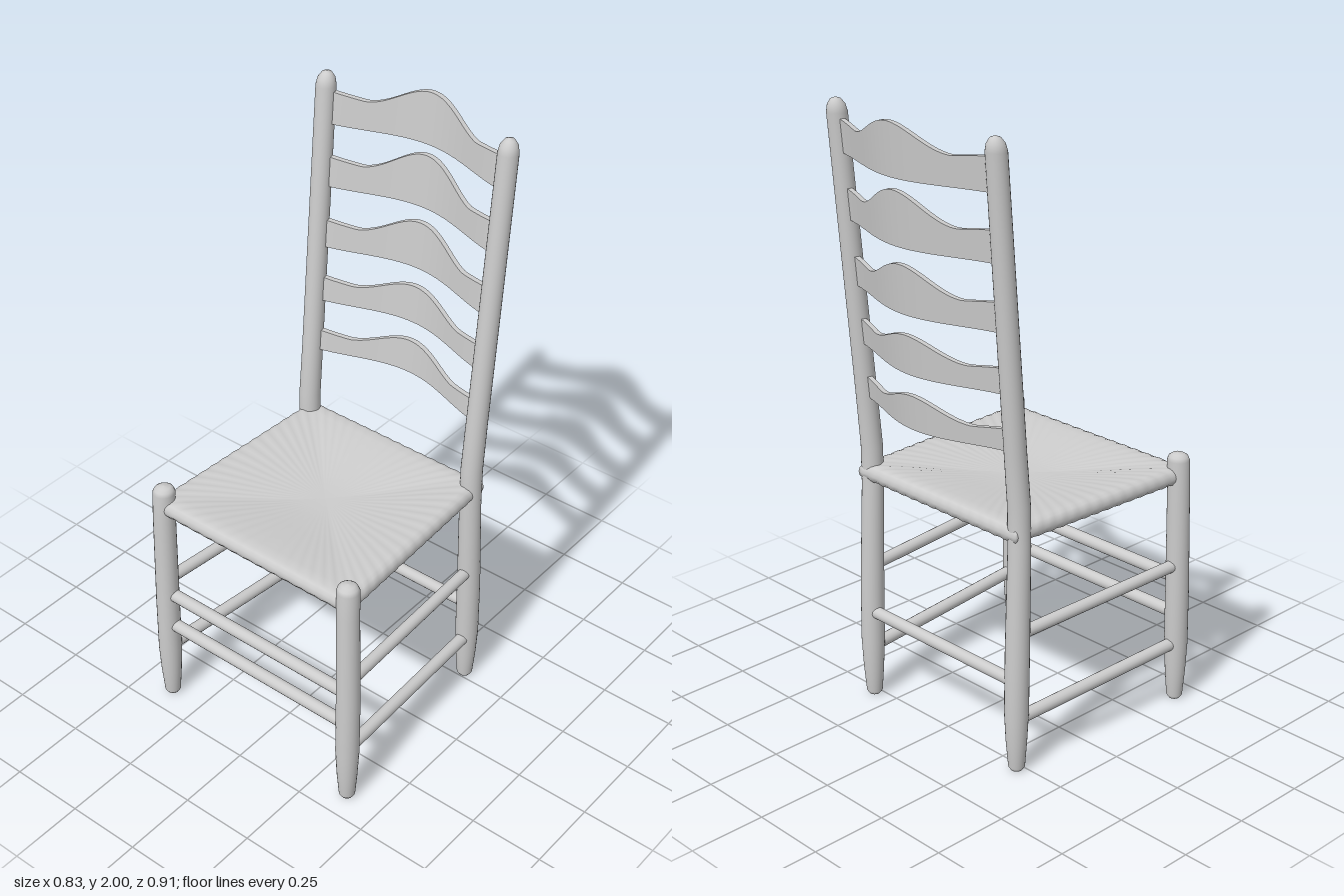
import * as THREE from 'three';

const wood = new THREE.MeshStandardMaterial({ color: 0xcccccc });
wood.name = 'pale grey';

// Skin over closed rings of points, listed from bottom to top
function loft(rings) {
  const n = rings[0].length, pos = rings.flat(2), idx = [];
  for (let i = 0; i < rings.length - 1; i++) {
    for (let j = 0; j < n; j++) {
      const a = i * n + j, b = i * n + (j + 1) % n;
      idx.push(a, a + n, b, b, a + n, b + n);
    }
  }
  const geo = new THREE.BufferGeometry();
  geo.setAttribute('position', new THREE.Float32BufferAttribute(pos, 3));
  geo.setIndex(idx);
  geo.computeVertexNormals();
  return geo;
}

// Turned post through stations [x, y, z, radius]
function post(stations, side) {
  return loft(stations.map(([x, y, z, r]) => Array.from({ length: 24 }, (_, j) => {
    const a = j / 24 * Math.PI * 2;
    return [x * side + r * Math.cos(a), y, z + r * Math.sin(a)];
  })));
}

// Round bar between two points
function rung(from, to, r) {
  const a = new THREE.Vector3(...from), b = new THREE.Vector3(...to);
  const dir = b.clone().sub(a), len = dir.length();
  const geo = new THREE.CylinderGeometry(r, r, len, 16);
  geo.applyQuaternion(new THREE.Quaternion().setFromUnitVectors(new THREE.Vector3(0, 1, 0), dir.normalize()));
  const mid = a.add(b).multiplyScalar(0.5);
  return geo.translate(mid.x, mid.y, mid.z);
}

// Bent slat with a raised middle
function slat(bottom, shoulder, crown) {
  const geo = new THREE.BoxGeometry(0.63, 1, 0.017, 48, 2, 1);
  const p = geo.attributes.position;
  for (let i = 0; i < p.count; i++) {
    const x = p.getX(i), ax = Math.abs(x);
    const bump = ax < 0.21 ? 0.5 + 0.5 * Math.cos(Math.PI * ax / 0.21) : 0;
    const flick = 0.012 * Math.max(0, (ax - 0.2) / 0.1);
    const top = shoulder + (crown - shoulder) * bump + flick;
    const y = THREE.MathUtils.lerp(bottom, top, p.getY(i) + 0.5);
    const u = ax / 0.32;
    const bow = 0.086 * (0.5 * Math.cos(u * Math.PI / 2) + 0.25 * (1 + Math.cos(u * Math.PI)));
    p.setY(i, y);
    p.setZ(i, p.getZ(i) - 0.276 - 0.092 * (y - 1.05) - bow);
  }
  geo.computeVertexNormals();
  return geo;
}

// Woven seat: tapered outline, rounded rim, hollow in the middle
function seat() {
  const corners = [[0.39, 0.43], [-0.39, 0.43], [-0.352, -0.298], [0.352, -0.298]];
  const outline = [], per = 60;
  corners.forEach((c, k) => {
    const d = corners[(k + 1) % 4];
    for (let j = 0; j < per; j++) {
      const t = j / per;
      outline.push([c[0] + (d[0] - c[0]) * t, c[1] + (d[1] - c[1]) * t]);
    }
  });
  // [scale, height, strand ripple]
  const profile = [[0, 0.756, 0], [0.5, 0.757, 0.3], [0.92, 0.763, 1], [0.97, 0.77, 1], [0.995, 0.782, 1],
    [1, 0.793, 1], [0.993, 0.806, 1], [0.97, 0.817, 1], [0.93, 0.822, 1], [0.85, 0.821, 1],
    [0.7, 0.816, 0.8], [0.5, 0.806, 0.5], [0.3, 0.797, 0.2], [0.15, 0.793, 0], [0, 0.792, 0]];
  const cz = 0.06;
  return loft(profile.map(([s, y, w]) => outline.map(([x, z], j) => {
    const strand = w * 0.0012 * Math.cos(j * Math.PI / 2);
    const k = s * (1 + strand);
    return [x * k, y + strand * Math.sign(y - 0.79), cz + (z - cz) * k];
  })));
}

export function createModel() {
  const group = new THREE.Group();
  const add = (name, geo) => {
    const mesh = new THREE.Mesh(geo, wood);
    mesh.name = name;
    group.add(mesh);
  };

  // Posts
  const front = [[0.375, 0, 0.413, 0], [0.375, 0, 0.413, 0.018], [0.375, 0.012, 0.413, 0.026],
    [0.375, 0.1, 0.413, 0.033], [0.375, 0.2, 0.412, 0.038], [0.375, 0.4, 0.409, 0.038],
    [0.37, 0.75, 0.405, 0.036], [0.368, 0.845, 0.402, 0.036], [0.367, 0.858, 0.402, 0.031],
    [0.367, 0.866, 0.401, 0.02], [0.367, 0.869, 0.401, 0]];
  const back = [[0.333, 0, -0.272, 0], [0.333, 0, -0.272, 0.018], [0.333, 0.012, -0.272, 0.026],
    [0.333, 0.1, -0.273, 0.033], [0.333, 0.2, -0.273, 0.038], [0.333, 0.4, -0.27, 0.038],
    [0.33, 0.75, -0.26, 0.035], [0.329, 0.88, -0.261, 0.035], [0.329, 1.05, -0.276, 0.034],
    [0.334, 1.955, -0.356, 0.032], [0.334, 1.978, -0.358, 0.027], [0.334, 1.994, -0.36, 0.016],
    [0.334, 2, -0.36, 0]];
  for (const side of [1, -1]) {
    const word = side > 0 ? 'left' : 'right';
    add(word + 'FrontLeg', post(front, side));
    add(word + 'BackPost', post(back, side));
    // Side rungs slope down towards the back
    add(word + 'UpperSideRung', rung([0.375 * side, 0.485, 0.41], [0.333 * side, 0.462, -0.27], 0.02));
    add(word + 'LowerSideRung', rung([0.375 * side, 0.204, 0.41], [0.333 * side, 0.174, -0.27], 0.021));
  }

  // Front and back rungs
  add('upperFrontRung', rung([-0.373, 0.435, 0.408], [0.373, 0.435, 0.408], 0.021));
  add('lowerFrontRung', rung([-0.373, 0.307, 0.41], [0.373, 0.307, 0.41], 0.021));
  add('backRung', rung([-0.333, 0.305, -0.278], [0.333, 0.305, -0.278], 0.02));

  add('seat', seat());

  // Ladder back
  [[1.836, 1.927, 2], [1.63, 1.716, 1.8], [1.423, 1.503, 1.577], [1.233, 1.303, 1.358], [1.053, 1.112, 1.165]]
    .forEach((s, i) => add('backSlat' + (i + 1), slat(...s)));

  return group;
}
